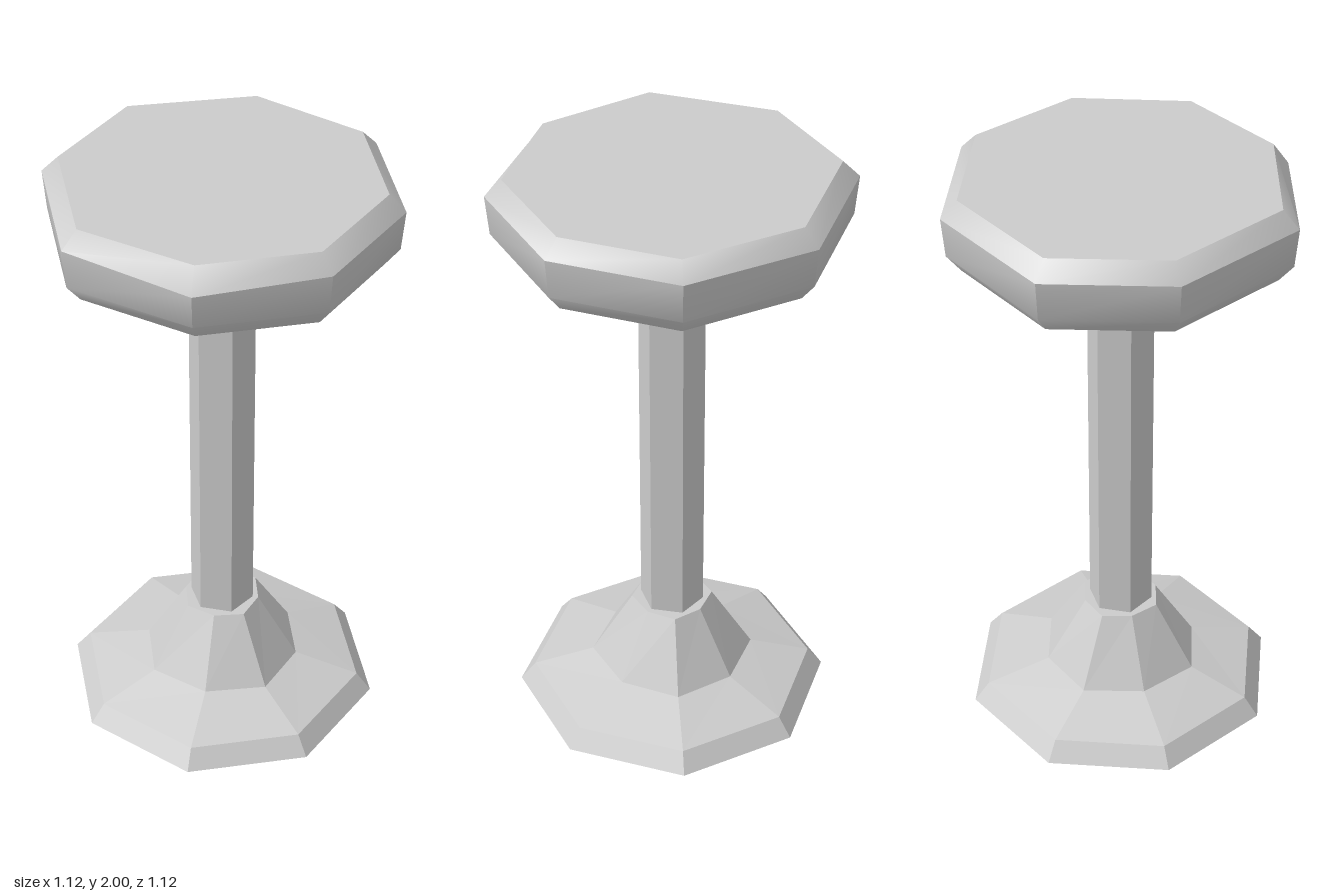
import * as THREE from 'three';
import { toCreasedNormals } from 'three/addons/utils/BufferGeometryUtils.js';

// Closed solid through rings of points (bottom to top, angle running from +x to +z).
function loft(rings) {
  const pos = [];
  const n = rings[0].length;
  const tri = (...pts) => pts.forEach((p) => pos.push(...p));
  const centre = (ring) => [0, 1, 2].map((k) => ring.reduce((s, p) => s + p[k], 0) / n);
  const low = rings[0];
  const high = rings[rings.length - 1];
  const cLow = centre(low);
  const cHigh = centre(high);
  for (let j = 0; j < n; j++) {
    const k = (j + 1) % n;
    for (let i = 0; i < rings.length - 1; i++) {
      const a = rings[i];
      const b = rings[i + 1];
      tri(a[j], b[j], a[k]);
      tri(a[k], b[j], b[k]);
    }
    tri(cLow, low[j], low[k]);
    tri(cHigh, high[k], high[j]);
  }
  const geo = new THREE.BufferGeometry();
  geo.setAttribute('position', new THREE.Float32BufferAttribute(pos, 3));
  geo.computeVertexNormals();
  return geo;
}

// Regular ring with corners on the x axis; diagonal scales every second corner.
function ring(sides, r, y, diagonal = 1) {
  return Array.from({ length: sides }, (_, i) => {
    const a = (i / sides) * Math.PI * 2;
    const s = i % 2 ? r * diagonal : r;
    return [s * Math.cos(a), y, s * Math.sin(a)];
  });
}

export function createModel() {
  const group = new THREE.Group();
  const flat = new THREE.MeshStandardMaterial({ color: 0xcccccc, flatShading: true });
  const smooth = new THREE.MeshStandardMaterial({ color: 0xcccccc });
  const add = (name, geo, material = flat) => {
    const mesh = new THREE.Mesh(geo, material);
    mesh.name = name;
    group.add(mesh);
  };

  // Octagonal foot stepping up into a cone
  add('base', loft([
    ring(8, 0.53, 0),
    ring(8, 0.48, 0.065),
    ring(8, 0.263, 0.122, 1.05),
    ring(8, 0.127, 0.35, 1.08),
  ]));

  // Hexagonal post and the plate under the seat
  add('post', loft([ring(6, 0.108, 0.34), ring(6, 0.108, 1.71)]));
  add('mountingPlate', loft([ring(6, 0.19, 1.705), ring(6, 0.19, 1.76)]));

  // Hand-shaped cushion: slightly uneven octagon with bevelled rims
  const outline = [
    [0.56, 0], [0.41, 0.39], [0.035, 0.555], [-0.38, 0.43],
    [-0.565, 0], [-0.425, -0.39], [0, -0.56], [0.405, -0.39],
  ];
  const cushionRing = (scale, y, frontDip = 0) =>
    outline.map(([x, z], i) => [x * scale, i === 2 ? y - frontDip : y, z * scale]);
  const cushion = loft([
    cushionRing(0.9, 1.757),
    cushionRing(0.98, 1.815),
    cushionRing(1, 1.945, 0.02),
    cushionRing(0.905, 2),
  ]);
  add('seat', toCreasedNormals(cushion, 0.65), smooth);

  return group;
}
